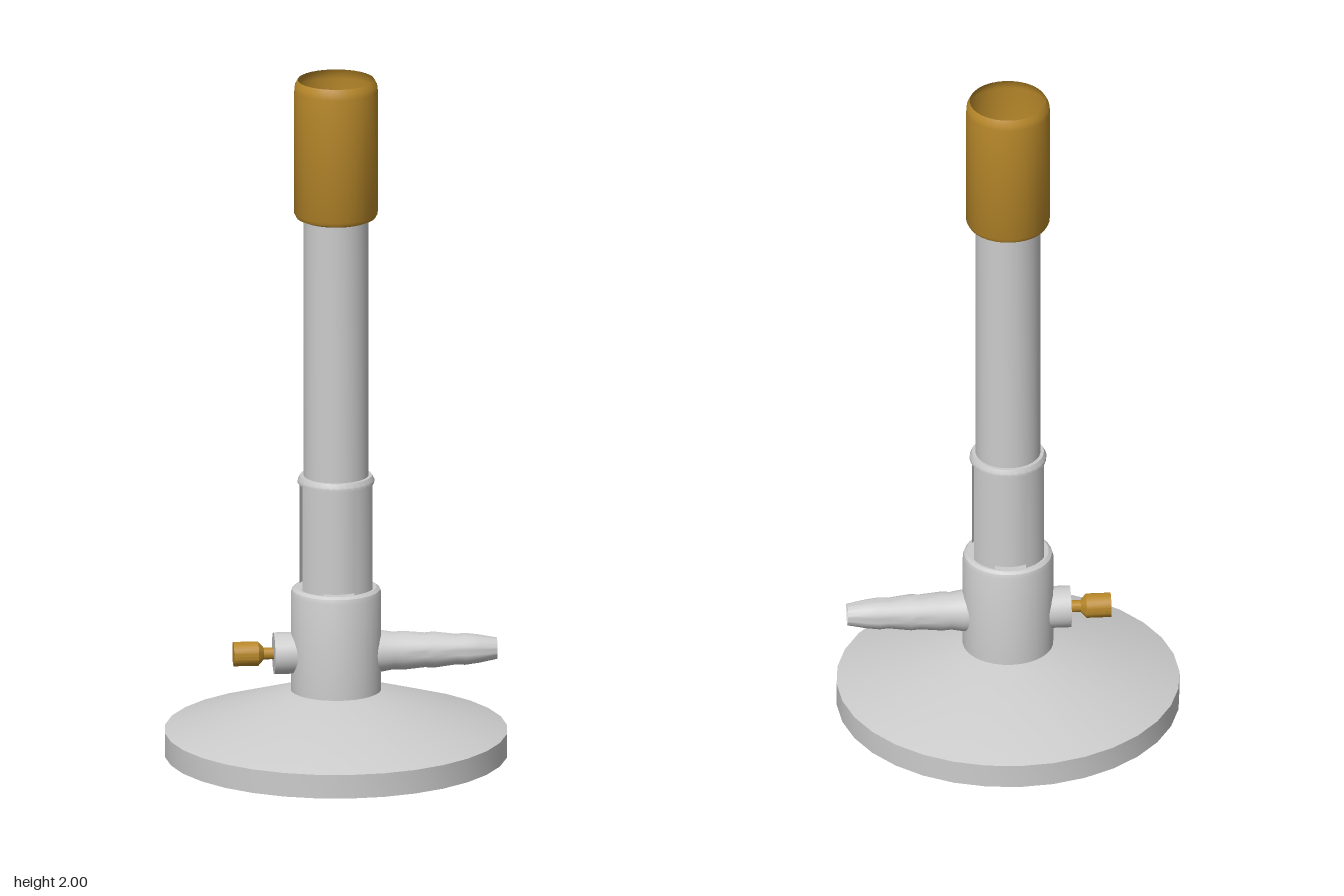
import * as THREE from 'three';
import { toCreasedNormals } from 'three/addons/utils/BufferGeometryUtils.js';

const grey = new THREE.MeshStandardMaterial({ color: 0xcccccc });
const greyShell = new THREE.MeshStandardMaterial({ color: 0xcccccc, side: THREE.DoubleSide });
const brass = new THREE.MeshStandardMaterial({ color: 0xb8882a });
const brassShell = new THREE.MeshStandardMaterial({ color: 0xb8882a, side: THREE.DoubleSide });

// Turned part from [radius, height] pairs listed bottom to top
function turned(name, profile, material, sides = 32, start = 0, sweep = Math.PI * 2) {
  const points = profile.map(([r, y]) => new THREE.Vector2(r, y));
  const geometry = toCreasedNormals(new THREE.LatheGeometry(points, sides, start, sweep), 0.5);
  const mesh = new THREE.Mesh(geometry, material);
  mesh.name = name;
  return mesh;
}

// Lay a turned part on its side at the height of the gas inlet; dir +1 points to +x
function sideways(mesh, dir) {
  mesh.rotation.z = -dir * Math.PI / 2;
  mesh.position.y = 0.3;
  return mesh;
}

export function createModel() {
  const model = new THREE.Group();
  model.name = 'gasBurner';

  // Heavy foot and the collar standing on it
  model.add(turned('base', [[0, 0], [0.492, 0], [0.492, 0.07], [0.13, 0.19], [0, 0.19]], grey));
  model.add(turned('collar', [[0.13, 0.19], [0.13, 0.475], [0.126, 0.488], [0.117, 0.495], [0, 0.495]], grey));

  // Barrel running up through the sleeve into the cap
  model.add(turned('barrel', [[0.093, 0.48], [0.093, 1.6]], grey));

  // Air sleeve: four posts between open slots, closed by a ring at the top
  const sleeve = new THREE.Group();
  sleeve.name = 'airSleeve';
  const r = 0.11, slot = Math.asin(0.045 / r);
  for (let i = 0; i < 4; i++) {
    sleeve.add(turned('sleevePost', [[r, 0.48], [r, 0.805]], greyShell, 6,
      i * Math.PI / 2 + slot, Math.PI / 2 - 2 * slot));
  }
  sleeve.add(turned('sleeveRing', [[r, 0.805], [r, 0.813], [0.103, 0.826], [0.093, 0.826]], greyShell));
  model.add(sleeve);

  // Open brass flame cap with a floor at its lower end
  model.add(turned('flameCap', [[0, 1.588], [0.1, 1.588], [0.114, 1.594], [0.12, 1.606],
    [0.12, 1.97], [0.118, 1.985], [0.11, 2]], brassShell));

  // Ribbed, open hose barb
  model.add(sideways(turned('hoseBarb', [[0.06, 0.1], [0.06, 0.13], [0.054, 0.165], [0.056, 0.19],
    [0.05, 0.255], [0.052, 0.28], [0.044, 0.345], [0.046, 0.37], [0.041, 0.41], [0.031, 0.462]], greyShell), 1));

  // Needle valve: boss, then thin stem and brass knob
  model.add(sideways(turned('valveBoss', [[0.06, 0.1], [0.06, 0.179], [0, 0.179]], grey), -1));
  model.add(sideways(turned('valveKnob', [[0.017, 0.17], [0.017, 0.208], [0.035, 0.224],
    [0.035, 0.295], [0, 0.295]], brass, 24), -1));

  return model;
}
